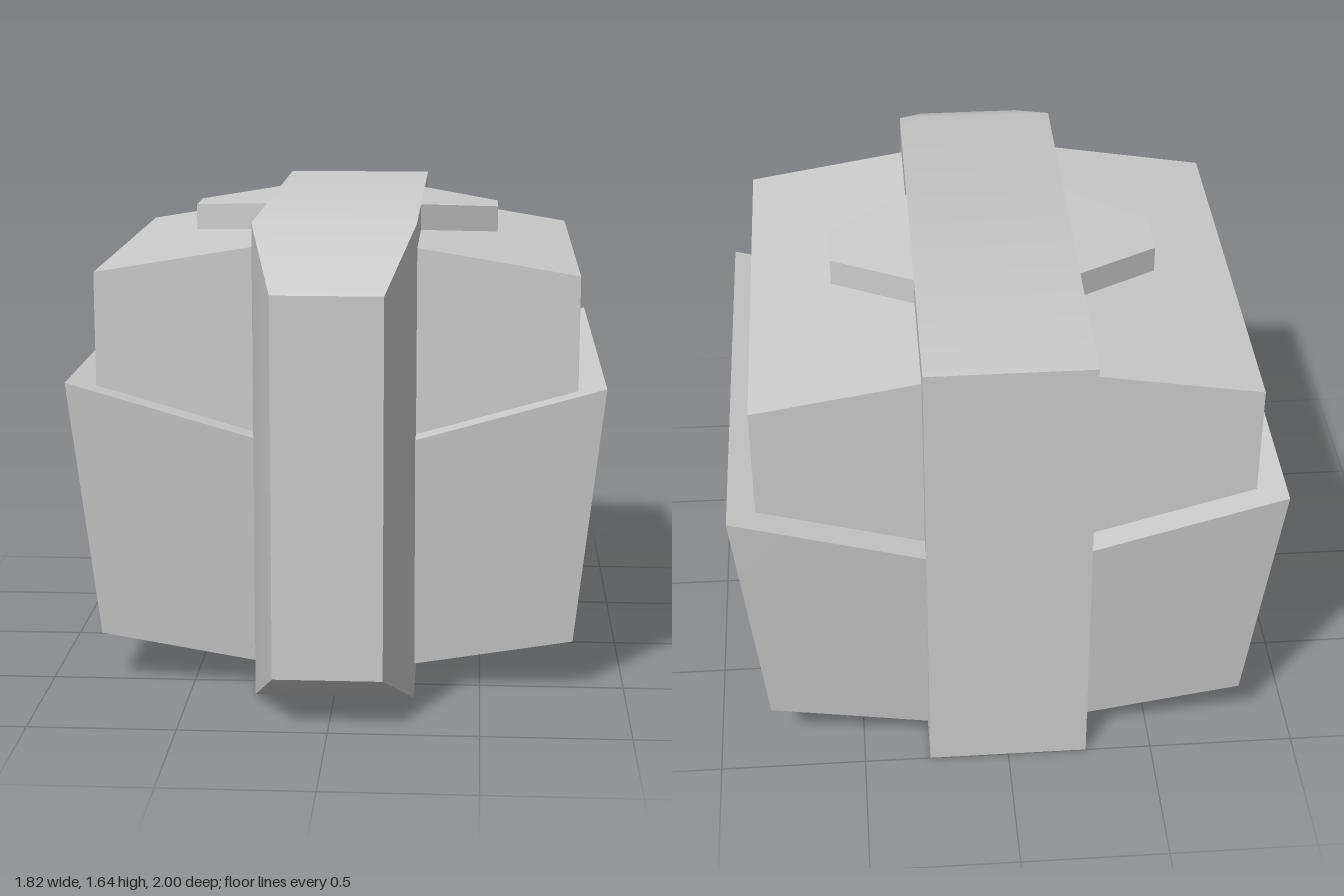
import * as THREE from 'three';
import { ConvexGeometry } from 'three/addons/geometries/ConvexGeometry.js';
import { toCreasedNormals } from 'three/addons/utils/BufferGeometryUtils.js';

const U = 1 / 11; // modelling grid step
const material = new THREE.MeshStandardMaterial({ color: 0xcccccc });

// Convex block from corner points in grid steps; gentle bends stay smooth
function block(name, corners, side = 1) {
  const points = corners.map(([x, y, z]) => new THREE.Vector3(x * side * U, y * U, z * U));
  const mesh = new THREE.Mesh(toCreasedNormals(new ConvexGeometry(points), 0.55), material);
  mesh.name = name;
  return mesh;
}

// Rectangle across x and y at depth z
const frame = (x, y0, y1, z) => [[-x, y0, z], [x, y0, z], [x, y1, z], [-x, y1, z]];

// Each [x, y] corner repeated at a front and a back depth
const span = (xy, front, back) => xy.flatMap(([x, y]) => [[x, y, front], [x, y, back]]);

export function createModel() {
  const group = new THREE.Group();

  // Central spine with a tapered nose
  group.add(block('centralSpine', [
    ...frame(3, 0, 18, -11), ...frame(3, 0, 18, 7), ...frame(2, 2, 16, 11),
  ]));

  for (const [label, side] of [['left', 1], ['right', -1]]) {
    // Flared lower housing
    group.add(block(label + 'LowerHousing', [
      ...span([[3, 10], [10, 12]], 7, -11),
      ...span([[3, 1], [9, 2]], 6, -10),
    ], side));

    // Upper block with a sloping roof
    group.add(block(label + 'UpperBlock',
      span([[3, 10], [9, 11.7], [9, 16], [3, 17]], 6, -10), side));

    // Tapered tab beside the top of the spine
    group.add(block(label + 'TopTab', [
      ...span([[3, 17], [3, 18]], 1, -5),
      ...span([[6, 16.7], [6, 17.7]], -1, -3),
    ], side));
  }
  return group;
}
